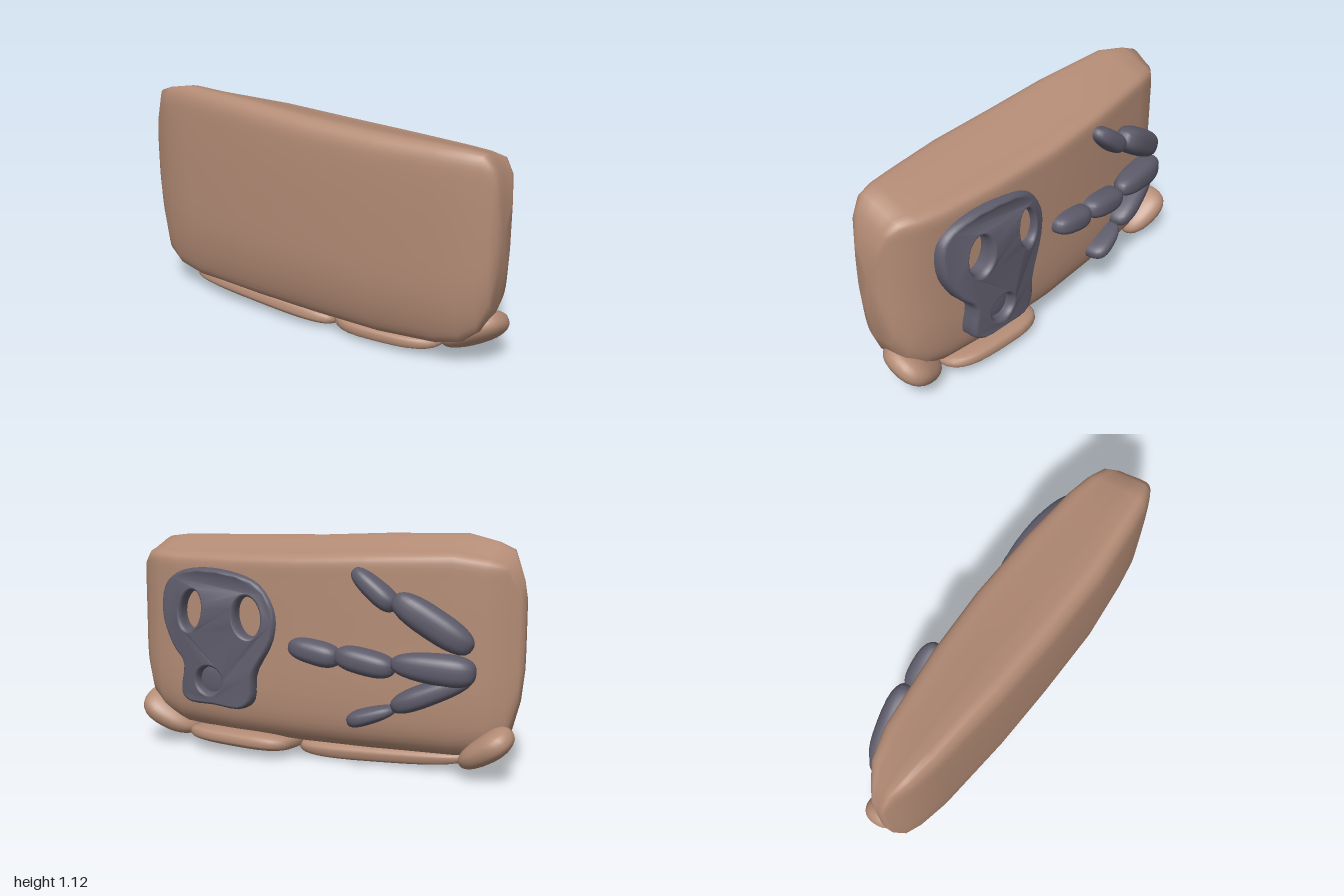
import * as THREE from 'three';
import { mergeVertices } from 'three/addons/utils/BufferGeometryUtils.js';

const brown = new THREE.MeshStandardMaterial({ color: 0xb48c76 });
const slate = new THREE.MeshStandardMaterial({ color: 0x5d5b6a });

// Weld all corners so the surface shades smoothly
function smooth(geo) {
  geo.deleteAttribute('uv');
  geo.deleteAttribute('normal');
  const merged = mergeVertices(geo, 1e-4);
  merged.computeVertexNormals();
  return merged;
}

function add(parent, name, geo, material) {
  const mesh = new THREE.Mesh(geo, material);
  mesh.name = name;
  parent.add(mesh);
  return mesh;
}

// Rounded pebble: a sphere squared off by power p, tapering along x
function pebble(half, p, taper = 0) {
  const geo = new THREE.SphereGeometry(1, 28, 18);
  const pos = geo.attributes.position;
  const v = new THREE.Vector3();
  const sq = (t) => Math.sign(t) * Math.abs(t) ** p;
  for (let i = 0; i < pos.count; i++) {
    v.fromBufferAttribute(pos, i);
    const x = sq(v.x);
    const s = 1 - taper * x;
    pos.setXYZ(i, x * half[0], sq(v.y) * half[1] * s, sq(v.z) * half[2] * s);
  }
  return smooth(geo);
}

// Slab lofted along x from one rounded outline
function slabGeometry() {
  // x, bottom, top, back, front
  const sections = [
    [-0.995, 0.5, 0.84, 0.05, 0.09], [-0.98, 0.36, 0.92, 0.02, 0.1], [-0.93, 0.18, 1.05, -0.01, 0.13],
    [-0.85, 0.12, 1.08, -0.07, 0.165], [-0.7, 0.095, 1.112, -0.115, 0.2], [-0.3, 0.09, 1.1, -0.165, 0.24],
    [0.05, 0.09, 1.08, -0.185, 0.253], [0.42, 0.095, 1.07, -0.176, 0.255], [0.72, 0.115, 1.063, -0.15, 0.225],
    [0.84, 0.15, 1.06, -0.125, 0.207], [0.92, 0.22, 1.05, -0.09, 0.18], [0.97, 0.34, 0.99, -0.045, 0.155],
    [0.995, 0.52, 0.84, 0, 0.13],
  ];
  // depth (0 back, 1 front), height (0 bottom, 1 top)
  const outline = [
    [0.5, 0.975], [0.7, 0.998], [0.88, 1], [0.97, 0.95], [0.995, 0.85], [1, 0.5], [0.98, 0.28], [0.91, 0.12], [0.8, 0.02],
    [0.5, 0], [0.2, 0.02], [0.05, 0.1], [0, 0.24], [0, 0.5], [0, 0.8], [0.008, 0.895], [0.07, 0.925], [0.25, 0.945],
  ];
  const curve = new THREE.CatmullRomCurve3(outline.map(([d, h]) => new THREE.Vector3(0, h, d)), true);
  const n = 64;
  const loop = curve.getPoints(n).slice(0, n);
  const pos = [];
  const idx = [];
  for (const [x, y0, y1, z0, z1] of sections) {
    for (const p of loop) pos.push(x, y0 + (y1 - y0) * p.y, z0 + (z1 - z0) * p.z);
  }
  const last = sections.length - 1;
  for (let i = 0; i < last; i++) {
    for (let j = 0; j < n; j++) {
      const a = i * n + j, b = i * n + (j + 1) % n;
      idx.push(a, b, a + n, b, b + n, a + n);
    }
  }
  // End caps
  for (const i of [0, last]) {
    const [x, y0, y1, z0, z1] = sections[i];
    const c = pos.length / 3;
    pos.push(x, (y0 + y1) / 2, (z0 + z1) / 2);
    for (let j = 0; j < n; j++) {
      const a = i * n + j, b = i * n + (j + 1) % n;
      if (i) idx.push(c, a, b); else idx.push(c, b, a);
    }
  }
  const geo = new THREE.BufferGeometry();
  geo.setAttribute('position', new THREE.Float32BufferAttribute(pos, 3));
  geo.setIndex(idx);
  geo.computeVertexNormals();
  return geo;
}

// Skull plate with two eye sockets and a nose pit, bowed outward
function skullGeometry() {
  const edge = [
    [0.76, 0.83], [0.7, 0.885], [0.56, 0.915], [0.37, 0.9], [0.24, 0.85], [0.165, 0.73], [0.175, 0.61], [0.265, 0.44],
    [0.28, 0.31], [0.32, 0.275], [0.46, 0.285], [0.61, 0.29], [0.64, 0.32], [0.625, 0.47], [0.7, 0.555], [0.765, 0.69],
  ];
  const path = new THREE.CatmullRomCurve3(edge.map(([x, y]) => new THREE.Vector3(x, y, 0)), true);
  const shape = new THREE.Shape(path.getPoints(56).slice(0, 56).map((p) => new THREE.Vector2(p.x, p.y)));
  for (const [x, y, rx, ry, tilt] of [[0.595, 0.725, 0.08, 0.115, 0.15], [0.285, 0.71, 0.08, 0.115, -0.15],
    [0.485, 0.39, 0.085, 0.082, 0]]) {
    shape.holes.push(new THREE.Path().absellipse(x, y, rx, ry, 0, Math.PI * 2, true, tilt));
  }
  const geo = new THREE.ExtrudeGeometry(shape, {
    depth: 0.04, bevelEnabled: true, bevelThickness: 0.035, bevelSize: 0.018, bevelSegments: 5, curveSegments: 14,
  });
  const pos = geo.attributes.position;
  for (let i = 0; i < pos.count; i++) {
    const bow = ((pos.getX(i) - 0.46) / 0.3) ** 2 * 0.052 + Math.max(0, pos.getY(i) - 0.65) ** 2 * 0.6;
    pos.setZ(i, pos.getZ(i) - 0.22 + bow);
  }
  return smooth(geo);
}

export function createModel() {
  const model = new THREE.Group();
  model.name = 'carvedStone';
  add(model, 'slab', slabGeometry(), brown);

  // Stones along the foot: name, centre, half size, turn, squareness, taper
  const stones = [
    ['leftEndStone', [0.835, 0.158, -0.012], [0.165, 0.066, 0.13], [-0.35, 0, 0.58], 0.85, -0.15],
    ['leftBaseStone', [0.405, 0.072, -0.02], [0.295, 0.046, 0.168], [0.08, 0, 0.02], 0.65, 0.1],
    ['rightBaseStone', [-0.31, 0.064, 0.065], [0.445, 0.042, 0.095], [-0.25, 0, -0.045], 0.65, -0.1],
    ['rightEndStone', [-0.855, 0.152, -0.045], [0.15, 0.062, 0.1], [-0.2, 0, -0.6], 0.85, 0.15],
  ];
  for (const [name, centre, half, turn, p, taper] of stones) {
    const stone = add(model, name, pebble(half, p, taper), brown);
    stone.position.set(...centre);
    stone.rotation.set(...turn);
  }

  // Skull relief on the back
  const skull = new THREE.Group();
  skull.name = 'skull';
  model.add(skull);
  add(skull, 'skullPlate', skullGeometry(), slate);
  const pit = add(skull, 'nosePit', pebble([0.088, 0.085, 0.025], 0.8), slate);
  pit.position.set(0.485, 0.385, -0.185);

  // Claw bones: start x, y, end x, y, half width, centre z, taper
  const claw = new THREE.Group();
  claw.name = 'claw';
  model.add(claw);
  const bones = [
    ['upperTip', -0.25, 0.96, -0.46, 0.79, 0.05, -0.165, 0.15],
    ['upperBone', -0.45, 0.845, -0.81, 0.62, 0.072, -0.155, 0],
    ['middleTip', 0.07, 0.59, -0.19, 0.54, 0.058, -0.185, 0.1],
    ['middleKnuckle', -0.17, 0.565, -0.46, 0.51, 0.06, -0.182, 0],
    ['middleBone', -0.44, 0.545, -0.83, 0.51, 0.07, -0.155, 0.2],
    ['lowerTip', -0.23, 0.25, -0.46, 0.325, 0.038, -0.17, -0.2],
    ['lowerBone', -0.44, 0.335, -0.81, 0.49, 0.052, -0.14, -0.1],
  ];
  for (const [name, x0, y0, x1, y1, width, z, taper] of bones) {
    const length = Math.hypot(x1 - x0, y1 - y0);
    const bone = add(claw, name, pebble([length / 2, width, 0.075], 0.75, -taper), slate);
    bone.position.set((x0 + x1) / 2, (y0 + y1) / 2, z);
    // Local x runs from the tip towards the palm
    bone.rotation.order = 'YZX';
    bone.rotation.set(0, x0 < -0.4 ? 0.2 : 0.08, Math.atan2(y1 - y0, x1 - x0));
  }
  return model;
}
